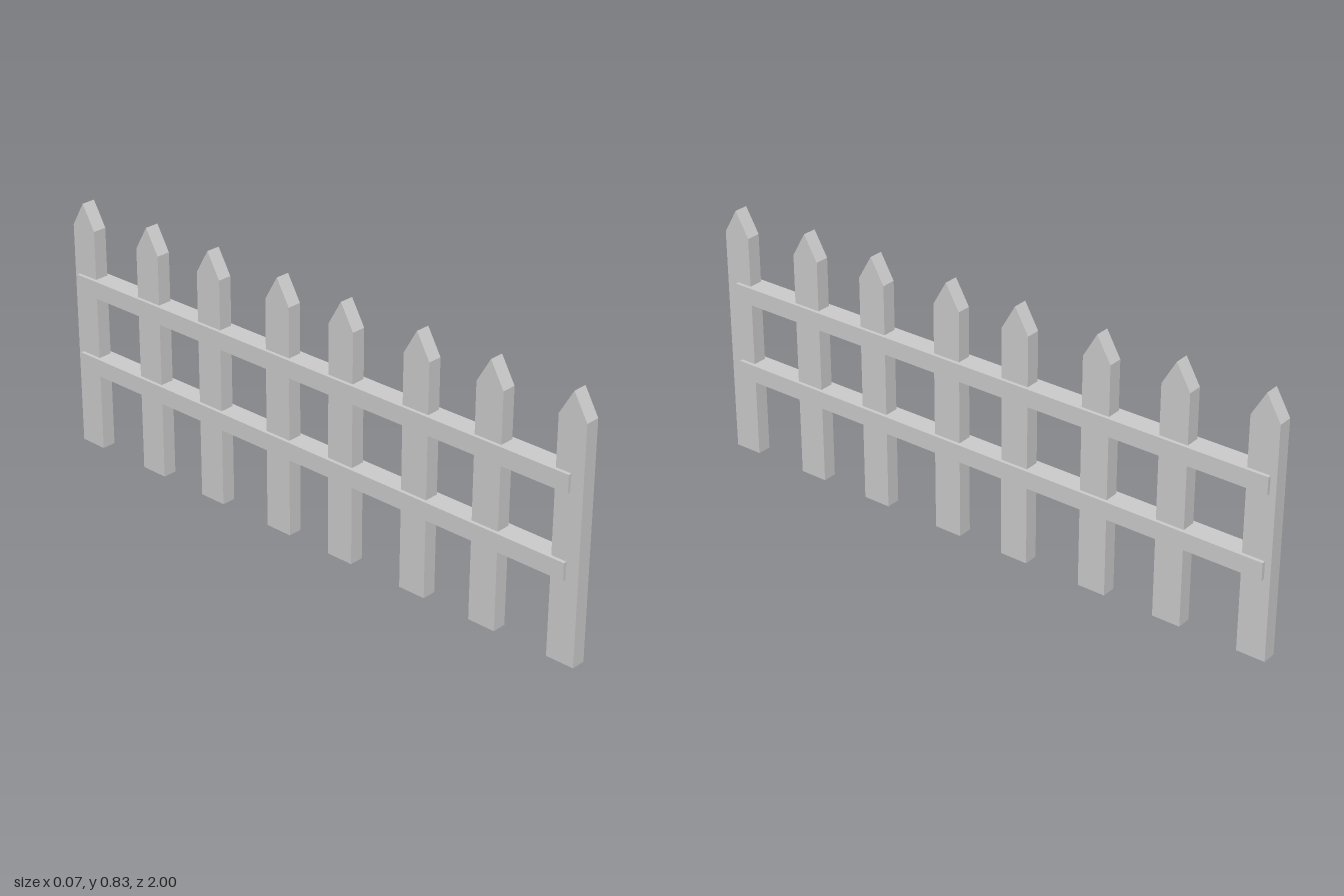
import * as THREE from 'three';

const PICKET = { width: 0.094, depth: 0.047, shoulder: 0.754, height: 0.835 };
const PICKET_Z = [0.953, 0.673, 0.412, 0.129, -0.121, -0.405, -0.668, -0.953];
const RAIL = { depth: 0.07, height: 0.057, front: 0.958, back: -0.98 };
const RAIL_Y = [0.294, 0.564];

// Flat board with a pointed top, its broad face turned to the x axis
function picketGeometry() {
  const { width, depth, shoulder, height } = PICKET;
  const w = width / 2;
  const outline = new THREE.Shape([
    new THREE.Vector2(-w, 0),
    new THREE.Vector2(w, 0),
    new THREE.Vector2(w, shoulder),
    new THREE.Vector2(0, height),
    new THREE.Vector2(-w, shoulder),
  ]);
  return new THREE.ExtrudeGeometry(outline, { depth, bevelEnabled: false })
    .translate(0, 0, -depth / 2)
    .rotateY(Math.PI / 2);
}

export function createModel() {
  const fence = new THREE.Group();
  fence.name = 'picketFence';
  const material = new THREE.MeshStandardMaterial({ color: 0xcccccc, flatShading: true });

  // Upright pickets
  const picketGeo = picketGeometry();
  PICKET_Z.forEach((z, i) => {
    const picket = new THREE.Mesh(picketGeo, material);
    picket.name = `picket${i + 1}`;
    picket.position.z = z;
    fence.add(picket);
  });

  // Horizontal rails running through the pickets
  const railGeo = new THREE.BoxGeometry(RAIL.depth, RAIL.height, RAIL.front - RAIL.back);
  RAIL_Y.forEach((y, i) => {
    const rail = new THREE.Mesh(railGeo, material);
    rail.name = i === 0 ? 'lowerRail' : 'upperRail';
    rail.position.set(0, y, (RAIL.front + RAIL.back) / 2);
    fence.add(rail);
  });

  return fence;
}
